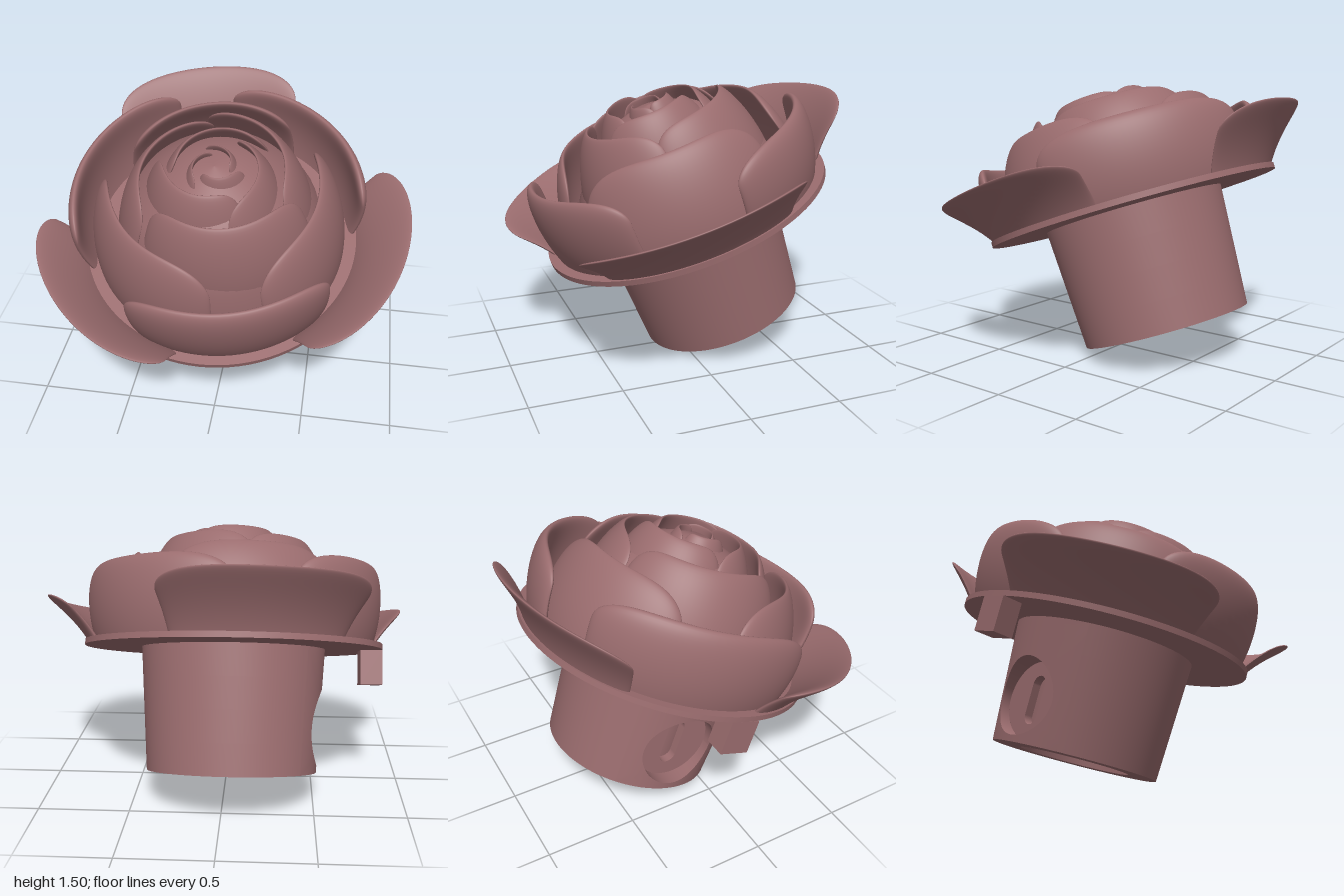
import * as THREE from 'three';
import { toCreasedNormals } from 'three/addons/utils/BufferGeometryUtils.js';

const rose = new THREE.MeshStandardMaterial({ color: 0x9a6c6e, side: THREE.DoubleSide });
rose.name = 'dustyRose';

// Surface over (u, v) in 0..1, facing du x dv
function grid(nu, nv, fn) {
  const pos = [], idx = [];
  for (let i = 0; i <= nu; i++) {
    for (let j = 0; j <= nv; j++) {
      pos.push(...fn(i / nu, j / nv));
      if (i < nu && j < nv) {
        const a = i * (nv + 1) + j, b = a + nv + 1;
        idx.push(a, b, a + 1, b, b + 1, a + 1);
      }
    }
  }
  const g = new THREE.BufferGeometry();
  g.setAttribute('position', new THREE.Float32BufferAttribute(pos, 3));
  g.setIndex(idx);
  g.computeVertexNormals();
  return g;
}

// Closed, thin curved shell with a rounded rim; angles in degrees from the front towards +x
function petal([center, half, height, reach = 0], { r: [r0, r1, r2], twist, corner, power, thick }) {
  return grid(40, 36, (a, q) => {
    const u = Math.sin((a - 0.5) * Math.PI);
    const e = Math.sqrt(Math.max(0, 1 - Math.abs(u) ** power));
    const v = Math.sin(q * Math.PI);
    const h = v * (1 - corner + corner * e);
    const edge = Math.sqrt(Math.max(0, 1 - u ** 10));
    const w = (q < 0.5 ? 1 : -1) * thick * 0.5 * edge * Math.sqrt(Math.max(0, 1 - v ** 10));
    const r = (1 - h) ** 2 * r0 + 2 * h * (1 - h) * r1 + h * h * (r2 + reach) + twist * u + w;
    const t = THREE.MathUtils.degToRad(center + half * u);
    return [r * Math.sin(t), h * height, r * Math.cos(t)];
  });
}

// Petal tiers: profile radii, spiral, corner shape, thickness, then [angle, half width, height, reach]
const tiers = [
  { name: 'flaredPetal', r: [0.77, 0.85, 1.04], twist: 0, corner: 0.35, power: 4.5, thick: 0.05,
    petals: [[76, 39, 0.275], [-46, 37, 0.28, -0.03], [-167, 34, 0.31]] },
  { name: 'outerPetal', r: [0.73, 0.81, 0.765], twist: 0, corner: 0.33, power: 4.5, thick: 0.065,
    petals: [[13, 42, 0.46], [139, 43, 0.425], [-110, 45, 0.445]] },
  { name: 'middlePetal', r: [0.67, 0.69, 0.55], twist: -0.015, corner: 0.38, power: 4, thick: 0.055,
    petals: [[-45, 50, 0.53], [77, 49, 0.53], [194, 45, 0.515]] },
  { name: 'innerPetal', r: [0.52, 0.55, 0.38], twist: 0.03, corner: 0.22, power: 6, thick: 0.05,
    petals: [[14, 62, 0.62], [132, 62, 0.6], [-108, 62, 0.6]] },
  { name: 'budPetal', r: [0.34, 0.42, 0.23], twist: -0.04, corner: 0.2, power: 6, thick: 0.045,
    petals: [[-30, 70, 0.67], [90, 70, 0.66], [205, 70, 0.655]] },
  { name: 'heartPetal', r: [0.18, 0.23, 0.1], twist: 0.03, corner: 0.12, power: 6, thick: 0.035,
    petals: [[20, 68, 0.665], [140, 68, 0.665], [-100, 68, 0.665]] },
];

const LOW = -0.68, BORE = 0.31, HOLE_Y = -0.43, HOLE_R = 0.215, PATCH = 0.65, FLOOR = -0.38;
const stemRadius = y => 0.512 + 0.042 * y / 0.68;
const onStem = (a, y) => [-stemRadius(y) * Math.cos(a), y, stemRadius(y) * Math.sin(a)];

export function createModel() {
  const model = new THREE.Group();
  model.name = 'roseOrnament';
  const body = new THREE.Group();
  body.name = 'tiltedRose';
  body.rotation.x = THREE.MathUtils.degToRad(20);
  body.position.set(-0.045, 0.798, -0.058);
  model.add(body);
  const add = (name, geometry) => {
    const m = new THREE.Mesh(geometry, rose);
    m.name = name;
    body.add(m);
    return m;
  };

  // Flower
  for (const t of tiers) {
    t.petals.forEach((p, i) => add(t.name + (i + 1), petal(p, t)));
  }
  const dome = [[0.6, 0], [0.55, 0.25], [0.43, 0.43], [0.26, 0.56], [0.12, 0.62], [0, 0.64]];
  add('flowerCore', new THREE.LatheGeometry(dome.map(p => new THREE.Vector2(...p)), 48));

  // Base disc with a small hanging tab
  add('baseDisc', toCreasedNormals(new THREE.CylinderGeometry(0.825, 0.825, 0.03, 96), 0.6))
    .position.y = 0.015;
  add('tab', new THREE.BoxGeometry(0.12, 0.19, 0.17)).position.set(-0.765, -0.095, 0.02);

  // Stem wall, leaving a window on the -x side
  add('stemWall', grid(72, 4, (u, v) =>
    onStem(PATCH + u * 2 * (Math.PI - PATCH), LOW * (1 - v))));

  // Wall patch around the round recess
  const rim = f => {
    const y = HOLE_Y + HOLE_R * Math.sin(f);
    return [Math.asin(HOLE_R * Math.cos(f) / stemRadius(y)), y];
  };
  add('recessSurround', grid(8, 64, (u, v) => {
    const f = v * Math.PI * 2, c = Math.cos(f), s = Math.sin(f);
    const m = Math.max(Math.abs(c), Math.abs(s));
    const [a, y] = rim(f);
    const edgeY = HOLE_Y + (s > 0 ? -HOLE_Y : HOLE_Y - LOW) * s / m;
    return onStem(a + (PATCH * c / m - a) * u, y + (edgeY - y) * u);
  }));
  add('recessWall', grid(2, 64, (u, v) => {
    const p = onStem(...rim(v * Math.PI * 2));
    p[0] += (FLOOR - p[0]) * (1 - u);
    return p;
  }));

  // Recess floor with an upright slot
  const floor = new THREE.Shape().absarc(0, 0, HOLE_R, 0, Math.PI * 2);
  const slot = new THREE.Path();
  slot.absarc(0, 0.085, 0.05, 0, Math.PI);
  slot.absarc(0, -0.085, 0.05, Math.PI, Math.PI * 2);
  slot.closePath();
  floor.holes.push(slot);
  const plate = new THREE.ExtrudeGeometry(floor, { depth: 0.05, bevelEnabled: false, curveSegments: 24 });
  plate.rotateY(-Math.PI / 2).translate(FLOOR + 0.05, HOLE_Y, 0);
  add('slottedFloor', plate);

  // Stem end ring and bore
  const ring = new THREE.RingGeometry(BORE, stemRadius(LOW), 72, 1).rotateX(Math.PI / 2);
  add('stemEnd', ring).position.y = LOW;
  const bore = [[0, -0.05], [BORE, -0.05], [BORE, LOW]].map(p => new THREE.Vector2(...p));
  add('stemBore', toCreasedNormals(new THREE.LatheGeometry(bore, 64), 0.6));

  return model;
}
